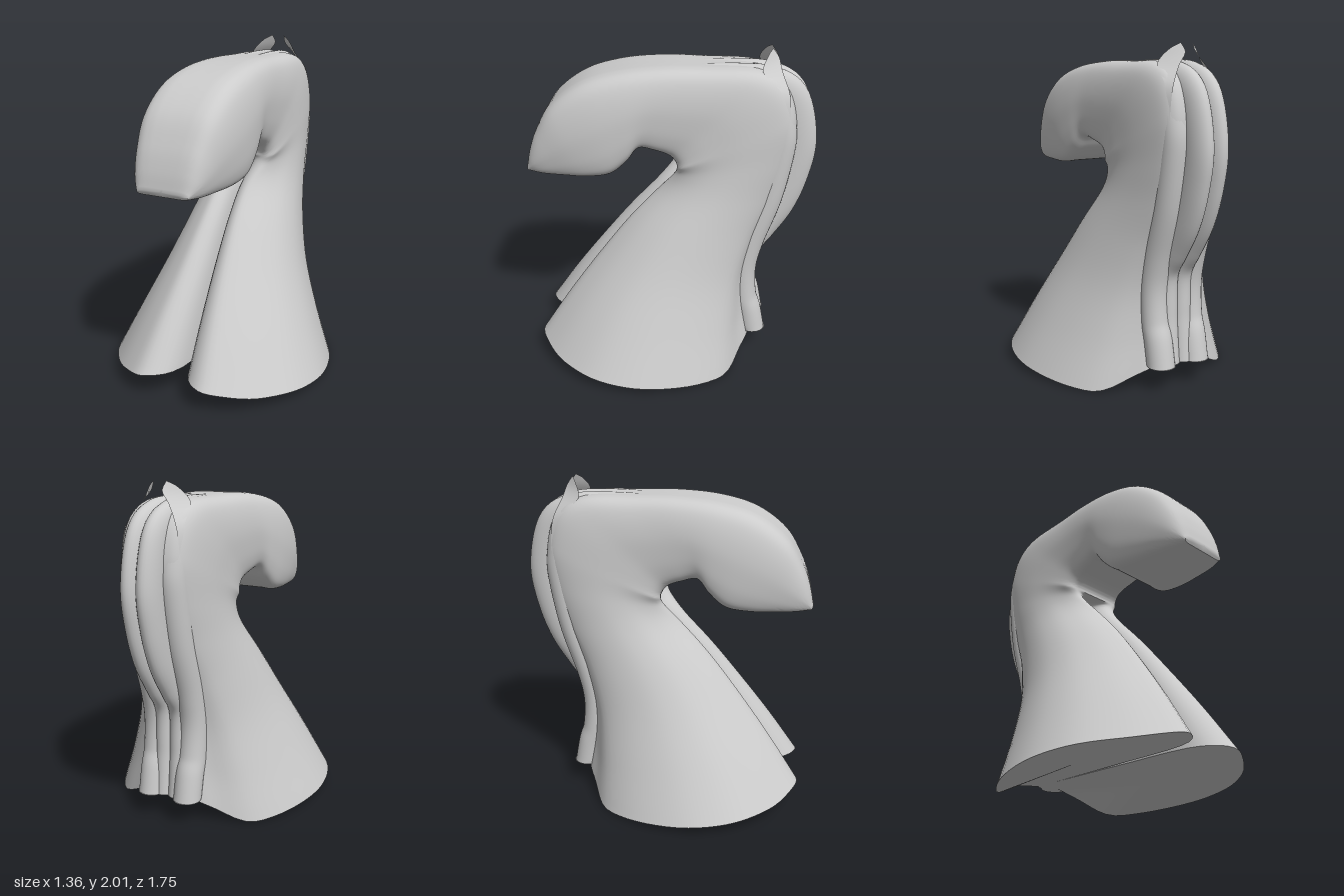
import * as THREE from 'three';
import { toCreasedNormals } from 'three/addons/utils/BufferGeometryUtils.js';

const V = (x, y, z) => new THREE.Vector3(x, y, z);
const spline = (pts, type = 'catmullrom') => new THREE.CatmullRomCurve3(pts, false, type);
const { lerp, clamp, smoothstep } = THREE.MathUtils;
const material = new THREE.MeshStandardMaterial({ color: 0xcccccc, side: THREE.DoubleSide });

// Skin closed rings; the ends are capped in two halves split at the ring's middle.
function loft(rings) {
  const n = rings[0].length, h = n / 2;
  const pts = rings.flat(), index = [];
  for (let r = 0; r < rings.length - 1; r++) {
    for (let i = 0; i < n; i++) {
      const a = r * n + i, b = r * n + (i + 1) % n;
      index.push(a, b, a + n, b, b + n, a + n);
    }
  }
  for (const r of [0, rings.length - 1]) {
    for (const start of [0, h]) {
      const loop = Array.from({ length: h + 1 }, (_, i) => r * n + (start + i) % n);
      const centre = V(0, 0, 0);
      loop.forEach(i => centre.add(pts[i]));
      pts.push(centre.divideScalar(h + 1));
      const c = pts.length - 1;
      for (let i = 0; i <= h; i++) {
        const a = loop[i], b = loop[(i + 1) % (h + 1)];
        if (r === 0) index.push(b, a, c); else index.push(a, b, c);
      }
    }
  }
  // Turn the faces outward if the enclosed volume is negative
  let volume = 0;
  for (let i = 0; i < index.length; i += 3) {
    const [a, b, c] = [pts[index[i]], pts[index[i + 1]], pts[index[i + 2]]];
    volume += a.dot(V(0, 0, 0).crossVectors(b, c));
  }
  if (volume < 0) index.reverse();
  const geo = new THREE.BufferGeometry().setFromPoints(pts);
  geo.setIndex(index);
  return toCreasedNormals(geo, 0.9);
}

// Half outlines as [back-to-front fraction, width fraction]: split neck and solid head
const NECK = [[0, 0], [0, .13], [0, .26], [.04, .42], [.13, .72], [.31, .92], [.52, 1], [.7, .94],
  [.86, .74], [.96, .5], [1, .27], [.9, .06], [.5, .015], [.08, 0]];
const HEAD = [[0, 0], [0, .28], [.005, .5], [.035, .7], [.11, .84], [.25, .94], [.45, 1], [.65, 1],
  [.82, .97], [.94, .9], [1, .75], [1, .5], [1, .25], [1, 0]];

// Stations from base to muzzle: outer z, y, inner z, y, half width, solidity, base sag
const STATIONS = [
  [-.51, .14, .84, .14, .68, 0, 1], [-.49, .35, .65, .42, .55, 0, .5],
  [-.5, .6, .45, .69, .43, 0, .2], [-.57, .85, .26, .93, .345, 0, 0],
  [-.67, 1.1, .08, 1.13, .285, .1, 0], [-.725, 1.35, -.02, 1.25, .258, .6, 0],
  [-.735, 1.6, -.04, 1.31, .25, 1, 0], [-.665, 1.8, -.03, 1.35, .245, 1, 0],
  [-.5, 1.895, .01, 1.39, .242, 1, 0], [-.2, 1.908, .09, 1.42, .248, 1, 0],
  [.05, 1.91, .19, 1.44, .262, 1, 0], [.3, 1.885, .26, 1.36, .282, 1, 0],
  [.52, 1.82, .36, 1.28, .287, 1, 0], [.7, 1.69, .5, 1.255, .272, 1, 0],
  [.8, 1.53, .65, 1.252, .24, 1, 0], [.85, 1.4, .77, 1.252, .205, 1, 0],
  [.875, 1.29, .86, 1.26, .16, 1, 0],
];

function bodyGeometry() {
  const outer = spline(STATIONS.map(s => V(0, s[1], s[0])));
  const inner = spline(STATIONS.map(s => V(0, s[3], s[2])));
  const shape = spline(STATIONS.map(s => V(s[4], s[5], s[6])));
  const rings = [], steps = 96, half = 56;
  for (let r = 0; r <= steps; r++) {
    const t = r / steps;
    const o = outer.getPoint(t), i = inner.getPoint(t), s = shape.getPoint(t);
    const k = clamp(s.y, 0, 1);
    const outline = spline(NECK.map((p, j) =>
      V(lerp(p[0], HEAD[j][0], k), lerp(p[1], HEAD[j][1], k), 0)), 'centripetal');
    const side = [];
    for (let j = 0; j <= half; j++) {
      const q = outline.getPoint(j / half);
      const p = o.clone().lerp(i, q.x);
      p.x = j === 0 || j === half ? 0 : Math.max(0, q.y * s.x);
      p.y -= s.z * smoothstep(q.y, .15, .75) * (.165 - .12 * q.x);
      side.push(p);
    }
    const mirror = side.slice(1, -1).reverse().map(p => V(-p.x, p.y, p.z));
    rings.push([...side, ...mirror]);
  }
  return loft(rings);
}

// Oval strand along a path of [z, y, depth] beside the middle, cut flat at the foot
function strandGeometry(path, x, rx) {
  const curve = spline(path.map(p => V(p[2], p[1], p[0])));
  const rings = [], steps = 80, sides = 28;
  for (let r = 0; r <= steps; r++) {
    const c = curve.getPoint(r / steps), d = curve.getTangent(r / steps);
    const len = Math.hypot(d.y, d.z);
    rings.push(Array.from({ length: sides }, (_, i) => {
      const a = i / sides * Math.PI * 2, m = Math.cos(a) * c.x / len;
      return V(x + rx * Math.sin(a), Math.max(.14, c.y + d.z * m), c.z - d.y * m);
    }));
  }
  return loft(rings);
}

const MANE = [[.02, 1.84, .06], [-.2, 1.837, .073], [-.4, 1.837, .076], [-.57, 1.8, .1],
  [-.69, 1.7, .12], [-.75, 1.45, .12], [-.72, 1.23, .12], [-.65, 1.03, .12], [-.55, .85, .11],
  [-.48, .68, .08], [-.48, .45, .07], [-.49, .3, .07], [-.51, .1, .07]];
const RIDGE = [[-.08, 1.8, .06], [-.35, 1.805, .08], [-.5, 1.775, .09], [-.6, 1.69, .09],
  [-.645, 1.55, .09], [-.645, 1.4, .09], [-.59, 1.1, .09], [-.495, .8, .09], [-.46, .6, .085],
  [-.47, .4, .085], [-.505, .28, .085], [-.54, .1, .085]];

// Thin pointed ear with a tail running down behind the cheek
function earGeometry(s) {
  const front = spline([V(.04, 2, -.58), V(.09, 1.97, -.55), V(.155, 1.89, -.52),
    V(.185, 1.78, -.63), V(.195, 1.58, -.69)], 'centripetal');
  const back = spline([V(.04, 2, -.58), V(.035, 1.95, -.615), V(.09, 1.88, -.635),
    V(.165, 1.76, -.68), V(.195, 1.58, -.69)], 'centripetal');
  const pts = [], index = [], n = 24;
  for (let i = 0; i <= n; i++) {
    for (const c of [front, back]) {
      const p = c.getPoint(i / n);
      pts.push(V(p.x * s, p.y, p.z));
    }
    if (i < n) index.push(2 * i, 2 * i + 1, 2 * i + 2, 2 * i + 1, 2 * i + 3, 2 * i + 2);
  }
  const geo = new THREE.BufferGeometry().setFromPoints(pts);
  geo.setIndex(index);
  geo.computeVertexNormals();
  return geo;
}

export function createModel() {
  const group = new THREE.Group();
  const add = (name, geo) => {
    const mesh = new THREE.Mesh(geo, material);
    mesh.name = name;
    group.add(mesh);
  };
  add('headAndNeck', bodyGeometry());
  for (const [side, s] of [['left', 1], ['right', -1]]) {
    add(side + 'Mane', strandGeometry(MANE, s * .05, .066));
    add(side + 'NeckRidge', strandGeometry(RIDGE, s * .124, .084));
    add(side + 'Ear', earGeometry(s));
  }
  return group;
}
